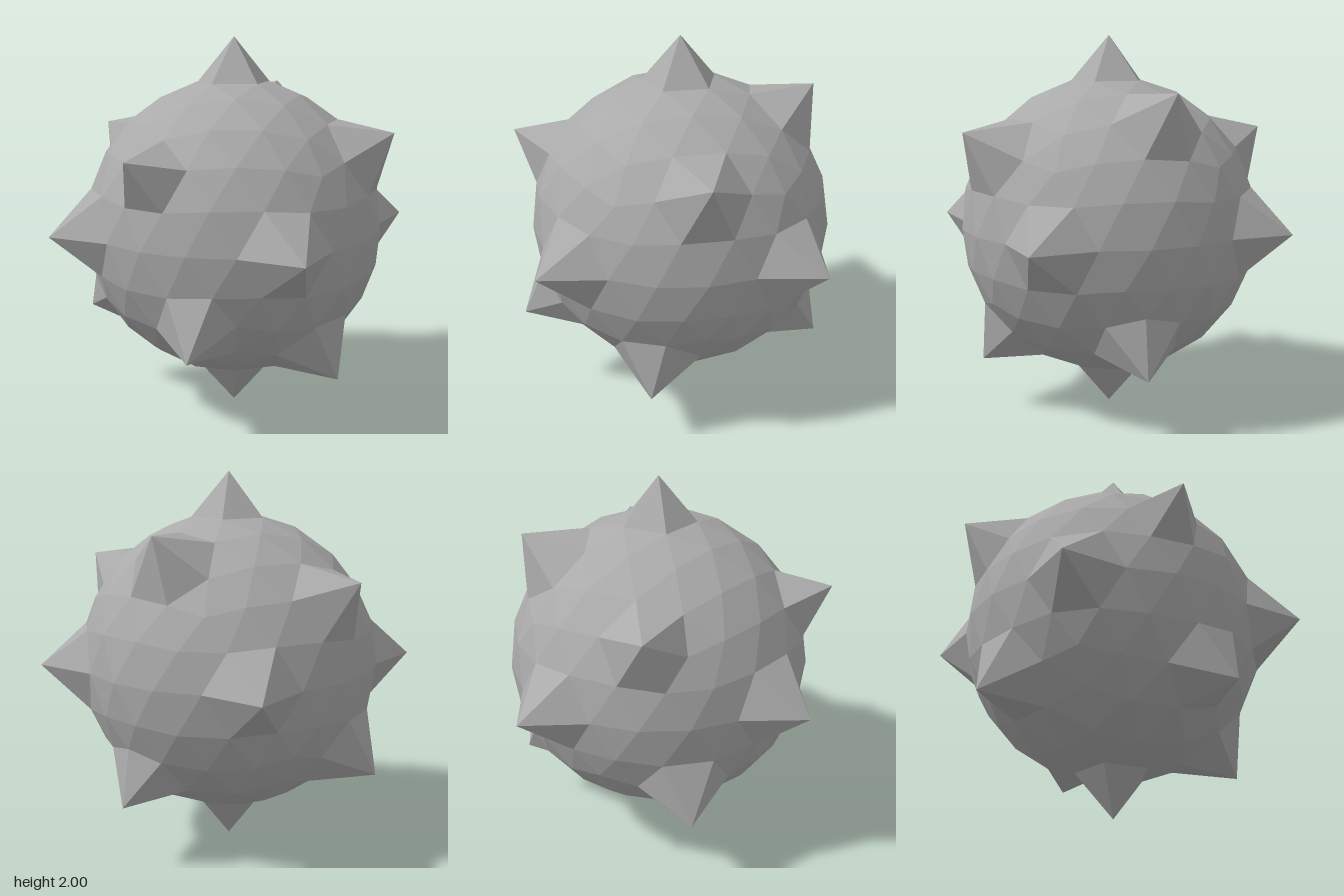
import * as THREE from 'three';

const SHELL_RADIUS = 0.79;
const TIP_RADIUS = 1;

// Approximate directions of the fourteen spikes
const spikeDirections = [
  [1, 0, 0], [-1, 0, 0], [0, 1, 0], [0, -1, 0], [0, 0, 1], [0, 0, -1],
  [0.68, 0.53, 0.5], [0.44, 0.72, -0.53], [-0.53, 0.5, -0.68], [-0.72, 0.45, 0.52],
  [-0.48, -0.5, 0.72], [0.36, -0.72, 0.58], [0.6, -0.65, -0.44], [-0.69, -0.52, -0.5],
].map((d) => new THREE.Vector3(...d).normalize());

function meshFromPoints(points, material, name) {
  const geometry = new THREE.BufferGeometry().setFromPoints(points);
  geometry.computeVertexNormals();
  const mesh = new THREE.Mesh(geometry, material);
  mesh.name = name;
  return mesh;
}

export function createModel() {
  const group = new THREE.Group();
  group.name = 'spikedBall';
  const grey = new THREE.MeshStandardMaterial({ color: 0xaaaaaa, flatShading: true });
  grey.name = 'grey';

  // Faceted unit ball, turned so that a five-sided corner points straight up
  const ball = new THREE.IcosahedronGeometry(1, 3);
  ball.rotateZ(-Math.atan(2 / (1 + Math.sqrt(5))));
  const position = ball.getAttribute('position');
  const corners = [];
  for (let i = 0; i < position.count; i++) {
    corners.push(new THREE.Vector3().fromBufferAttribute(position, i));
  }

  // The ball corner nearest each direction becomes a spike tip
  const tips = spikeDirections.map((d) =>
    corners.reduce((best, c) => (c.dot(d) > best.dot(d) ? c : best)).clone());
  const tipIndex = (c) => tips.findIndex((t) => t.distanceTo(c) < 0.01);

  // Sort the facets into the shell and the spikes, pulling the tips outward
  const shell = [];
  const spikes = tips.map(() => []);
  for (let i = 0; i < corners.length; i += 3) {
    const facet = corners.slice(i, i + 3);
    const owners = facet.map(tipIndex);
    const spike = Math.max(...owners);
    const points = facet.map((c, k) =>
      c.clone().multiplyScalar(owners[k] >= 0 ? TIP_RADIUS : SHELL_RADIUS));
    (spike >= 0 ? spikes[spike] : shell).push(...points);
  }

  group.add(meshFromPoints(shell, grey, 'shell'));
  spikes.forEach((points, i) => group.add(meshFromPoints(points, grey, `spike${i + 1}`)));
  group.children.forEach((mesh) => { mesh.position.y = 1; });
  return group;
}
